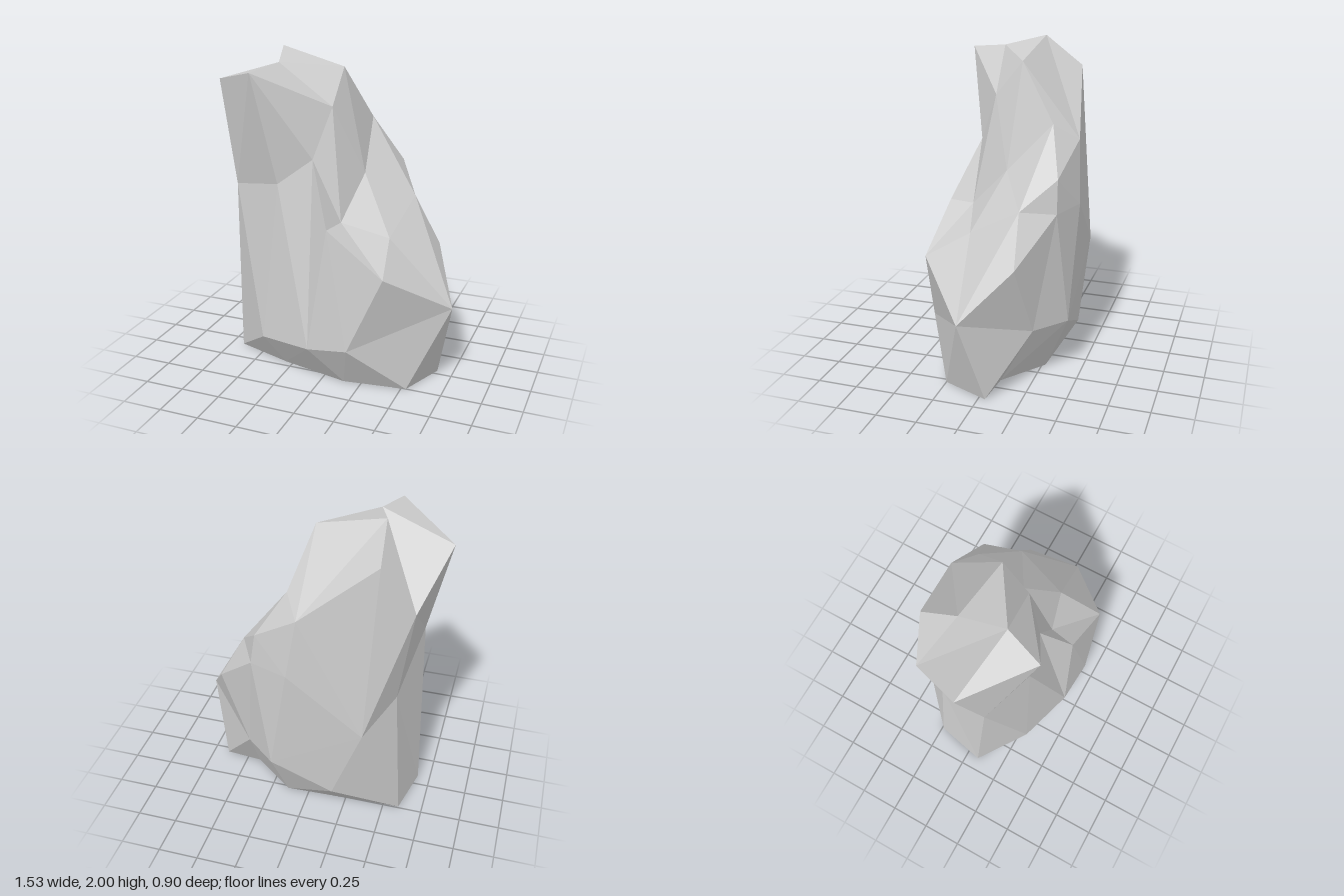
import * as THREE from 'three';

// Corner points of the boulder, level by level, running left -> front -> right -> back
const P = {
  // foot
  U: [-0.67, 0, 0.08], 1: [-0.3, 0, 0.2], 2: [0.14, 0, 0.3], 3: [0.53, 0, 0.25],
  4: [0.65, 0, -0.04], c: [0.41, 0, -0.06], d: [0.14, 0, -0.27], V: [-0.6, 0, -0.24],
  // lower bulge
  W: [-0.4, 0.22, 0.32], X: [-0.05, 0.25, 0.43], Y: [0.21, 0.29, 0.45], O: [0.76, 0.51, 0.09],
  a: [0.4, 0.36, -0.26], Q: [0.2, 0.36, -0.425], e: [-0.19, 0.18, -0.4],
  // waist
  S: [-0.63, 1.165, 0.15], f: [-0.3, 1.23, 0.27], g: [-0.09, 1.39, 0.22], h: [0.06, 1.02, 0.38],
  Z: [0.42, 0.77, 0.41], N: [0.59, 0.81, -0.2], M: [0.32, 1.08, -0.375], p: [0.08, 1.08, -0.455],
  R: [-0.38, 0.7, -0.425], T: [-0.54, 0.88, -0.21],
  // ledge
  i: [0.09, 1.02, 0.22], k: [0.37, 0.93, 0.14], L: [0.43, 1.11, -0.18], K: [0.29, 1.28, -0.37],
  // shoulder
  A: [-0.77, 1.8, 0.07], B: [-0.41, 1.91, 0.38], F: [-0.01, 1.69, 0.1], j: [0.155, 1.27, -0.02],
  G: [0.11, 1.56, -0.29], J: [0.02, 1.46, -0.43], I: [-0.43, 1.82, -0.33], H: [-0.63, 1.52, -0.27],
  // crest
  C: [-0.33, 1.94, 0.145], E: [0, 1.9, -0.07], D: [-0.41, 2, -0.1],
};

// Closed bands between two neighbouring levels; a repeated point makes a triangle
const BANDS = [
  ['UU11223344ccddVV', 'UWWXXYYOOaaQQeeV'], // foot to bulge
  ['UWWXXXYYYOOaaQQQeVVU', 'SSffghhZOONNMMpRRRTT'], // bulge to waist
  ['SfghhZZOONMMppRT', 'SfggiikkLLLKKpRT'], // waist to ledge
  ['SSfggiikLLKKpRRRTS', 'ABBBFFjjjGGJJJIHHH'], // ledge to shoulder
  ['ABFFjGJJIHH', 'CCCEEEEDDDC'], // shoulder to crest
];

function createBoulderGeometry() {
  const positions = [];
  const tri = (a, b, c) => {
    if (a !== b && b !== c && c !== a) positions.push(...P[a], ...P[b], ...P[c]);
  };
  const fan = (loop) => {
    for (let n = 1; n < loop.length - 1; n++) tri(loop[0], loop[n], loop[n + 1]);
  };
  for (const [low, high] of BANDS) {
    for (let n = 0; n < low.length; n++) {
      const m = (n + 1) % low.length;
      tri(low[n], low[m], high[m]);
      tri(low[n], high[m], high[n]);
    }
  }
  fan('CED'); // crest
  fan('c4321UVd'); // underside
  const geometry = new THREE.BufferGeometry();
  geometry.setAttribute('position', new THREE.Float32BufferAttribute(positions, 3));
  geometry.computeVertexNormals();
  return geometry;
}

export function createModel() {
  const group = new THREE.Group();
  group.name = 'rock';
  const boulder = new THREE.Mesh(
    createBoulderGeometry(),
    new THREE.MeshStandardMaterial({ color: 0xcccccc, flatShading: true }),
  );
  boulder.name = 'boulder';
  group.add(boulder);
  return group;
}
